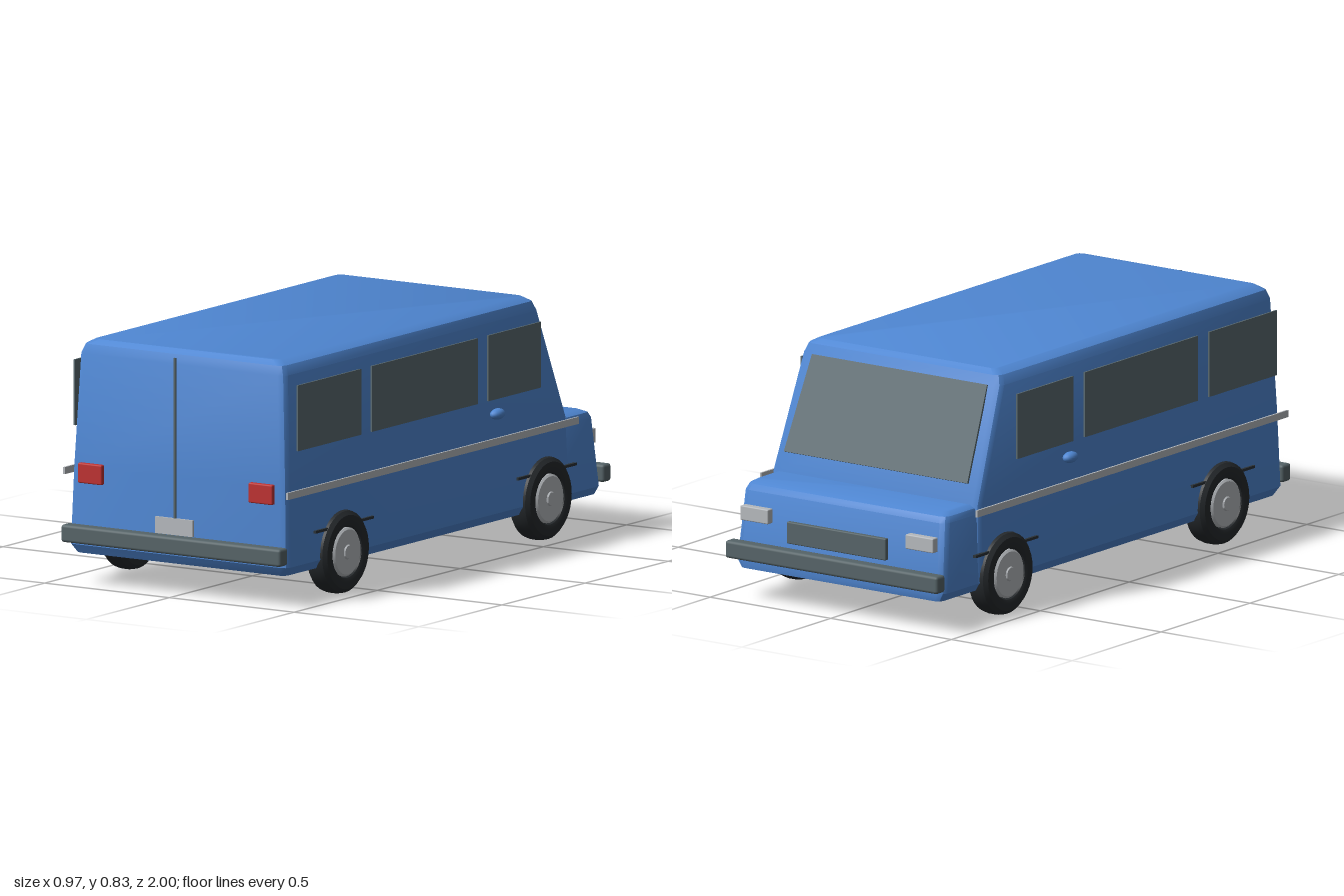
import * as THREE from 'three';
import { toCreasedNormals } from 'three/addons/utils/BufferGeometryUtils.js';
import { RoundedBoxGeometry } from 'three/addons/geometries/RoundedBoxGeometry.js';

const mat = (name, color) => {
  const m = new THREE.MeshStandardMaterial({ color });
  m.name = name;
  return m;
};

// Stack of chamfered rectangles: each level is [y, halfWidth, zRear, zFront, chamfer]
function loftBody(levels) {
  const pos = [];
  const idx = [];
  for (const [y, w, zr, zf, c] of levels) {
    const ring = [
      [-w + c, zr], [w - c, zr], [w - c * 0.3, zr - c * 0.3], [w, zr - c],
      [w, zf + c], [w - c * 0.3, zf + c * 0.3], [w - c, zf],
      [-w + c, zf], [-w + c * 0.3, zf + c * 0.3], [-w, zf + c],
      [-w, zr - c], [-w + c * 0.3, zr - c * 0.3],
    ];
    for (const [x, z] of ring) pos.push(x, y, z);
  }
  const n = 12;
  for (let k = 0; k < levels.length - 1; k++) {
    for (let i = 0; i < n; i++) {
      const a = k * n + i;
      const b = k * n + ((i + 1) % n);
      idx.push(a, b, b + n, a, b + n, a + n);
    }
  }
  const top = (levels.length - 1) * n;
  for (let i = 1; i < n - 1; i++) {
    idx.push(0, i + 1, i);
    idx.push(top, top + i, top + i + 1);
  }
  const g = new THREE.BufferGeometry();
  g.setAttribute('position', new THREE.Float32BufferAttribute(pos, 3));
  g.setIndex(idx);
  return toCreasedNormals(g, 0.55);
}

export function createModel() {
  const van = new THREE.Group();
  van.name = 'van';

  const paint = mat('bodyBlue', 0x4f87d3);
  const glass = mat('glassGrey', 0x5a6a70);
  const bumperGrey = mat('bumperGrey', 0x566468);
  const rubber = mat('tyreBlack', 0x25292c);
  const silver = mat('silver', 0xb5b9bd);
  const red = mat('lampRed', 0xbd3232);
  const dark = mat('darkTrim', 0x2b3236);

  const add = (name, geo, material, x = 0, y = 0, z = 0, parent = van) => {
    const m = new THREE.Mesh(geo, material);
    m.name = name;
    m.position.set(x, y, z);
    parent.add(m);
    return m;
  };
  const box = (name, w, h, d, material, x, y, z) =>
    add(name, new THREE.BoxGeometry(w, h, d), material, x, y, z);
  const rounded = (name, w, h, d, r, material, x, y, z) =>
    add(name, new RoundedBoxGeometry(w, h, d, 2, r), material, x, y, z);

  // Cabin and bonnet
  add('cabin', loftBody([
    [0.105, 0.42, 0.935, -0.75, 0.02],
    [0.135, 0.438, 0.953, -0.765, 0.025],
    [0.4, 0.43, 0.945, -0.755, 0.025],
    [0.78, 0.412, 0.93, -0.608, 0.025],
    [0.812, 0.4, 0.92, -0.596, 0.025],
    [0.828, 0.37, 0.9, -0.575, 0.02],
  ]), paint);
  add('bonnet', loftBody([
    [0.107, 0.415, -0.6, -0.95, 0.02],
    [0.135, 0.432, -0.6, -0.954, 0.025],
    [0.37, 0.42, -0.65, -0.925, 0.025],
    [0.39, 0.413, -0.65, -0.913, 0.025],
    [0.401, 0.395, -0.65, -0.885, 0.02],
  ]), paint);

  // Windscreen, leaning back along the cabin front
  const screen = new THREE.Shape([[-0.38, 0], [0.38, 0], [0.363, 0.338], [-0.363, 0.338]]
    .map(([x, y]) => new THREE.Vector2(x, y)));
  const windscreen = add('windscreen',
    new THREE.ExtrudeGeometry(screen, { depth: 0.008, bevelEnabled: false }),
    glass, 0, 0.47, -0.748);
  windscreen.rotation.x = Math.atan2(0.135, 0.31);

  // Bumpers
  rounded('rearBumper', 0.88, 0.06, 0.05, 0.01, bumperGrey, 0, 0.175, 0.97);
  rounded('frontBumper', 0.88, 0.06, 0.048, 0.01, bumperGrey, 0, 0.175, -0.976);

  // Rear door seam, number plate and front grille
  box('rearDoorSeam', 0.008, 0.56, 0.008, bumperGrey, 0, 0.528, 0.966);
  box('numberPlate', 0.15, 0.056, 0.009, silver, 0, 0.237, 0.968);
  rounded('grille', 0.41, 0.075, 0.018, 0.004, bumperGrey, 0, 0.26, -0.962);

  // Tyre profile (radius, distance along the axle)
  const tyreGeo = toCreasedNormals(new THREE.LatheGeometry([
    [0, -0.04], [0.1, -0.044], [0.125, -0.042], [0.138, -0.03], [0.142, -0.012],
    [0.142, 0.012], [0.138, 0.03], [0.125, 0.042], [0.1, 0.044], [0.088, 0.038],
    [0.084, 0.025], [0, 0.025],
  ].map(([r, y]) => new THREE.Vector2(r, y)), 36), 0.6);
  const hubGeo = toCreasedNormals(new THREE.LatheGeometry([
    [0.083, 0.02], [0.083, 0.035], [0.076, 0.041], [0.025, 0.041], [0.022, 0.046], [0, 0.046],
  ].map(([r, y]) => new THREE.Vector2(r, y)), 32), 0.6);
  const handleGeo = new THREE.SphereGeometry(1, 16, 12);

  for (const s of [1, -1]) {
    const side = s > 0 ? 'left' : 'right';

    // Side windows as [rear z, front z]
    [[0.9, 0.52], [0.455, -0.18], [-0.245, -0.56]].forEach(([a, b], i) =>
      box(`${side}Window${i + 1}`, 0.006, 0.223, a - b, glass, s * 0.447, 0.638, (a + b) / 2));

    // Trim strip and door handle
    box(`${side}TrimStrip`, 0.007, 0.024, 1.75, silver, s * 0.447, 0.382, 0.088);
    add(`${side}DoorHandle`, handleGeo, paint, s * 0.463, 0.48, -0.28)
      .scale.set(0.021, 0.019, 0.034);

    // Lamps
    rounded(`${side}TailLamp`, 0.096, 0.068, 0.02, 0.005, red, s * 0.342, 0.381, 0.958);
    rounded(`${side}Headlamp`, 0.115, 0.05, 0.03, 0.004, silver, s * 0.342, 0.3, -0.953);

    // Wheels with a slim trim line above each
    for (const z of [0.61, -0.61]) {
      const end = z > 0 ? 'Rear' : 'Front';
      const wheel = new THREE.Group();
      wheel.name = `${side}${end}Wheel`;
      wheel.position.set(s * 0.415, 0.143, z);
      wheel.rotation.z = -s * Math.PI / 2;
      add('tyre', tyreGeo, rubber, 0, 0, 0, wheel);
      add('hubcap', hubGeo, silver, 0, 0, 0, wheel);
      van.add(wheel);
      box(`${side}${end}ArchTrim`, 0.012, 0.009, 0.35, dark, s * 0.438, 0.234, z);
    }
  }
  return van;
}
